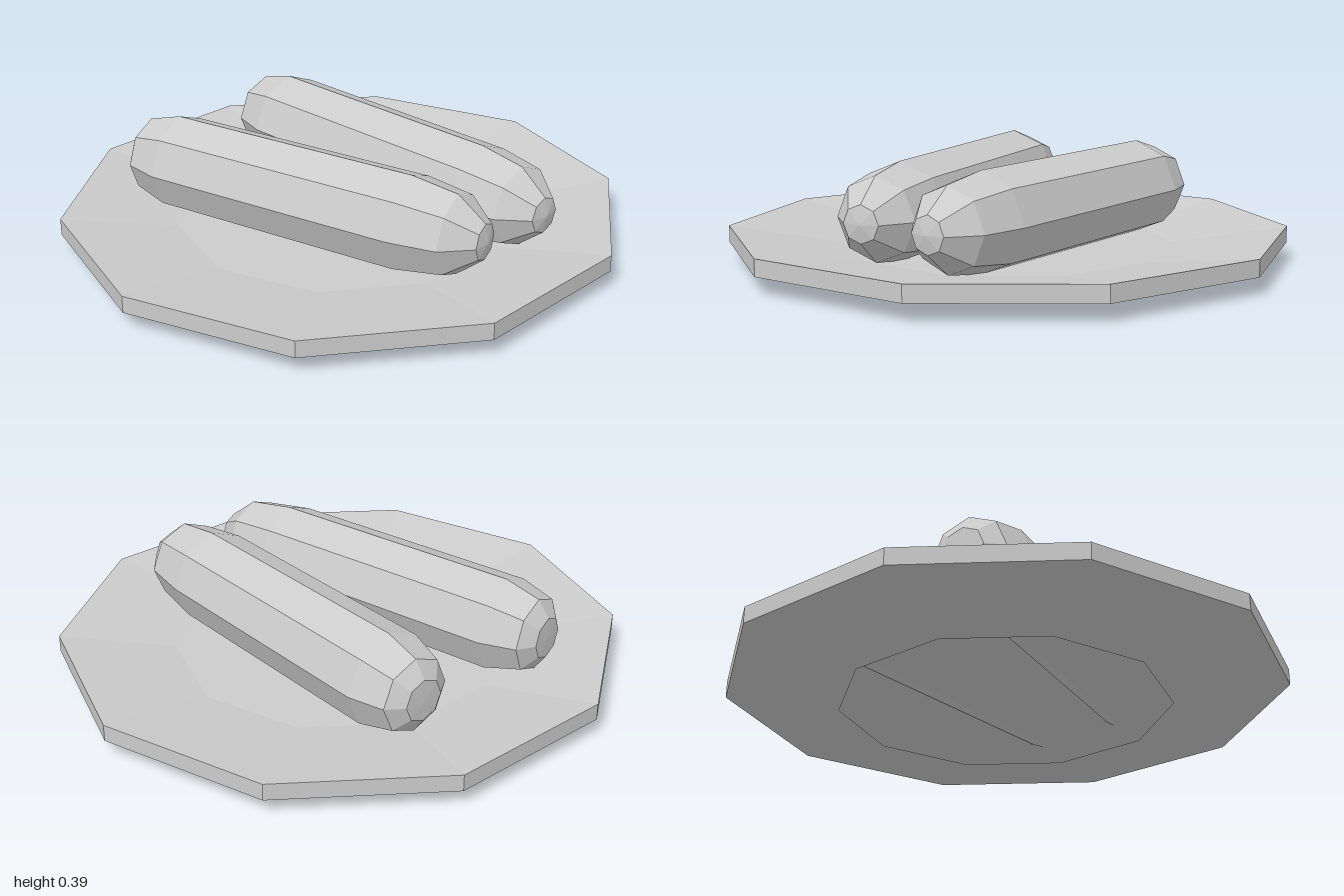
import * as THREE from 'three';

const material = new THREE.MeshStandardMaterial({
  color: 0xcccccc, flatShading: true, side: THREE.DoubleSide,
});

// Faceted solid of revolution from [radius, height] pairs
function lathe(profile, sides) {
  return new THREE.LatheGeometry(profile.map(([r, h]) => new THREE.Vector2(r, h)), sides);
}

// Eight-sided sausage lying along x, blunt at -x and tapered at +x
function sausageGeometry() {
  const profile = [
    [0, -0.68], [0.075, -0.677], [0.135, -0.635], [0.172, -0.505],
    [0.172, 0.45], [0.146, 0.625], [0.065, 0.727], [0, 0.74],
  ];
  return lathe(profile, 8).rotateZ(-Math.PI / 2);
}

export function createModel() {
  const group = new THREE.Group();

  // Ten-sided plate: sloping underside open at the foot, upright rim, shallow dish
  const plate = new THREE.Mesh(
    lathe([[0.59, 0], [1, 0.06], [1, 0.12], [0.59, 0.06], [0, 0.06]], 10), material);
  plate.name = 'plate';
  group.add(plate);

  // Two sausages, the front one turned at an angle
  const geometry = sausageGeometry();
  for (const [name, z, turn] of [['backSausage', -0.225, 0], ['frontSausage', 0.222, 0.216]]) {
    const sausage = new THREE.Mesh(geometry, material);
    sausage.name = name;
    sausage.position.set(0, 0.222, z);
    sausage.rotation.y = turn;
    group.add(sausage);
  }
  return group;
}
